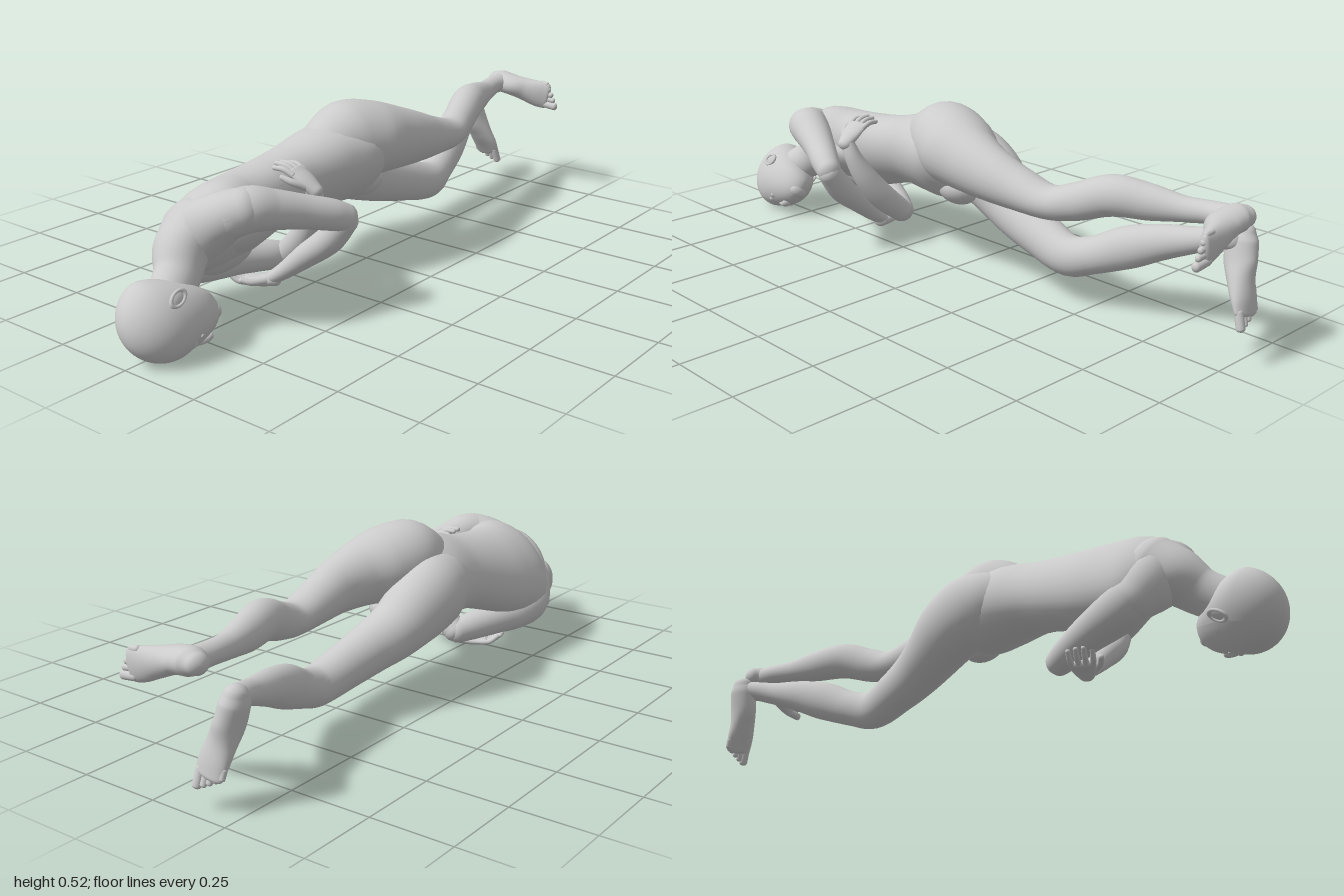
import * as THREE from 'three';

const V = (x, y, z) => new THREE.Vector3(x, y, z);
const mat = new THREE.MeshStandardMaterial({ color: 0xcccccc });
const RING = 28;

function addMesh(parent, name, geometry) {
  const m = new THREE.Mesh(geometry, mat);
  m.name = name;
  parent.add(m);
  return m;
}

// Smooth skin through elliptical sections [x, y, z, sideRadius, depthRadius, sideAngle], with rounded ends
function loft(parent, name, rows, side = null, cap = 0.8) {
  const path = new THREE.CatmullRomCurve3(rows.map(r => V(r[0], r[1], r[2])));
  const size = new THREE.CatmullRomCurve3(rows.map(r => V(r[3], r[4], r[5] ?? 0)));
  const steps = (rows.length - 1) * 6;
  const rings = [];
  const ringAt = (u, scale = 1, push = 0) => {
    const c = path.getPoint(u), t = path.getTangent(u), s = size.getPoint(u);
    const a = side ? side.clone() : V(Math.cos(s.z), Math.sin(s.z), 0);
    a.addScaledVector(t, -a.dot(t)).normalize();
    const b = t.clone().cross(a);
    c.addScaledVector(t, push * Math.min(s.x, s.y) * cap);
    rings.push({ c, a: a.multiplyScalar(s.x * scale), b: b.multiplyScalar(s.y * scale) });
  };
  const capAngles = [1.35, 1.05, 0.7, 0.35];
  capAngles.forEach(q => ringAt(0, Math.cos(q), -Math.sin(q)));
  for (let i = 0; i <= steps; i++) ringAt(i / steps);
  capAngles.slice().reverse().forEach(q => ringAt(1, Math.cos(q), Math.sin(q)));

  const pos = [], idx = [];
  rings.forEach(({ c, a, b }, i) => {
    for (let j = 0; j < RING; j++) {
      const q = (j / RING) * Math.PI * 2;
      const p = c.clone().addScaledVector(a, Math.cos(q)).addScaledVector(b, Math.sin(q));
      pos.push(p.x, p.y, p.z);
      if (i === rings.length - 1) continue;
      const k = (j + 1) % RING, o = i * RING, n = o + RING;
      idx.push(o + j, o + k, n + j, o + k, n + k, n + j);
    }
  });
  const first = rings[0].c, last = rings[rings.length - 1].c;
  const e = rings.length * RING, o = e - RING;
  pos.push(first.x, first.y, first.z, last.x, last.y, last.z);
  for (let j = 0; j < RING; j++) {
    const k = (j + 1) % RING;
    idx.push(e, k, j, e + 1, o + j, o + k);
  }
  const g = new THREE.BufferGeometry();
  g.setAttribute('position', new THREE.Float32BufferAttribute(pos, 3));
  g.setIndex(idx);
  g.computeVertexNormals();
  return addMesh(parent, name, g);
}

function ellipsoid(parent, name, p, r, angle = 0) {
  const m = addMesh(parent, name, new THREE.SphereGeometry(1, 28, 20));
  m.position.set(...p);
  m.scale.set(...r);
  m.rotation.z = angle;
  return m;
}

// Palm plus four curled fingers and a thumb; across points to the index finger, back is the palm's outer side
function hand(parent, name, wrist, dir, across, back) {
  const g = new THREE.Group();
  g.name = name;
  parent.add(g);
  const at = (d, s, h) => wrist.clone().addScaledVector(dir, d).addScaledVector(across, s).addScaledVector(back, h);
  const row = (p, a, b) => [p.x, p.y, p.z, a, b];
  loft(g, 'palm', [row(at(-0.015, 0, 0), 0.024, 0.02), row(at(0.03, 0, 0.004), 0.035, 0.016), row(at(0.07, 0, 0.002), 0.038, 0.012)], across);
  [0.85, 1, 0.95, 0.78].forEach((l, i) => {
    const s = 0.029 - i * 0.019;
    loft(g, 'finger', [row(at(0.06, s, 0.003), 0.009, 0.009), row(at(0.06 + 0.036 * l, s * 1.15, -0.003), 0.0085, 0.0085),
      row(at(0.06 + 0.066 * l, s * 1.2, -0.022), 0.007, 0.007)], across);
  });
  loft(g, 'thumb', [row(at(0.012, 0.02, 0), 0.012, 0.012), row(at(0.045, 0.046, -0.004), 0.01, 0.01), row(at(0.075, 0.054, -0.012), 0.008, 0.008)], back);
}

// Heel to ball of the foot, then five toes; medial points to the big toe
function foot(parent, name, rows, medial, forward) {
  const g = new THREE.Group();
  g.name = name;
  parent.add(g);
  loft(g, 'sole', rows, medial);
  const end = V(...rows[rows.length - 1].slice(0, 3));
  [0.046, 0.043, 0.037, 0.03, 0.023].forEach((l, i) => {
    const r = i ? 0.0095 : 0.0135;
    const a = end.clone().addScaledVector(medial, 0.03 - i * 0.0175 - (i ? 0.003 : 0)).addScaledVector(forward, -0.01 - i * 0.003);
    const b = a.clone().addScaledVector(forward, l);
    loft(g, 'toe', [[a.x, a.y, a.z, r, r], [b.x, b.y, b.z, r, r * 0.9]], medial);
  });
}

function buildHead(parent) {
  const L = V(0.81, 0.56, 0.2).normalize();
  const F = V(0.55, -0.75, -0.3);
  F.addScaledVector(L, -F.dot(L)).normalize();
  const head = new THREE.Group();
  head.name = 'head';
  head.quaternion.setFromRotationMatrix(new THREE.Matrix4().makeBasis(L, F.clone().cross(L), F));
  head.position.set(0.014, 0.111, 0.884);
  parent.add(head);

  // Skull: the lower half of a sphere is stretched forward and narrowed to a jaw
  const g = new THREE.SphereGeometry(1, 48, 36);
  const p = g.attributes.position;
  for (let i = 0; i < p.count; i++) {
    const x = p.getX(i), y = p.getY(i), z = p.getZ(i), k = Math.pow(Math.max(0, -y), 1.4);
    p.setXYZ(i, x * 0.09 * (1 - 0.05 * k), y * (y < 0 ? 0.15 : 0.12), z * 0.118 * (z < 0 ? 1 - 0.4 * k : 1) + 0.052 * k);
  }
  g.computeVertexNormals();
  addMesh(head, 'skull', g);

  loft(head, 'nose', [[0, -0.025, 0.113, 0.008, 0.008], [0, -0.055, 0.122, 0.01, 0.012], [0, -0.07, 0.124, 0.015, 0.012]], V(1, 0, 0));
  ellipsoid(head, 'upperLip', [0, -0.096, 0.11], [0.022, 0.006, 0.009]);
  ellipsoid(head, 'lowerLip', [0, -0.106, 0.106], [0.018, 0.007, 0.009]);
  ellipsoid(head, 'chin', [0, -0.124, 0.085], [0.032, 0.022, 0.023]);
  for (const s of [-1, 1]) {
    ellipsoid(head, 'eye', [s * 0.033, -0.034, 0.105], [0.016, 0.008, 0.008]);
    loft(head, 'brow', [[s * 0.014, -0.014, 0.112, 0.006, 0.005], [s * 0.034, -0.009, 0.106, 0.006, 0.005], [s * 0.053, -0.016, 0.09, 0.005, 0.004]], V(0, 1, 0));
    const ear = new THREE.Group();
    ear.name = 'ear';
    ear.position.set(s * 0.09, -0.03, -0.012);
    ear.rotation.set(0.15, s * 1.35, 0);
    head.add(ear);
    addMesh(ear, 'earRim', new THREE.TorusGeometry(0.018, 0.005, 10, 28)).scale.set(0.9, 1.45, 1);
    ellipsoid(ear, 'earBowl', [0, 0, -0.002], [0.016, 0.025, 0.005]);
  }
}

export function createModel() {
  const body = new THREE.Group();
  body.name = 'lyingFigure';

  // Trunk, turned 45 degrees at the shoulders and less at the hips
  loft(body, 'torso', [
    [-0.05, 0.318, -0.02, 0.11, 0.088, 0.48], [-0.052, 0.328, 0.05, 0.168, 0.118, 0.49],
    [-0.06, 0.334, 0.15, 0.157, 0.122, 0.55], [-0.072, 0.317, 0.28, 0.132, 0.106, 0.66],
    [-0.08, 0.292, 0.4, 0.142, 0.107, 0.74], [-0.082, 0.269, 0.52, 0.162, 0.113, 0.78],
    [-0.076, 0.263, 0.62, 0.175, 0.107, 0.8], [-0.066, 0.254, 0.69, 0.135, 0.09, 0.8]], null, 0.5);
  loft(body, 'shoulders', [
    [0.09, 0.357, 0.63, 0.066, 0.062], [0.045, 0.337, 0.657, 0.072, 0.07], [-0.02, 0.295, 0.675, 0.075, 0.084],
    [-0.075, 0.248, 0.68, 0.075, 0.088], [-0.125, 0.198, 0.67, 0.074, 0.08], [-0.16, 0.15, 0.635, 0.068, 0.064]], V(0, 0, 1));
  loft(body, 'neck', [[-0.08, 0.27, 0.66, 0.13, 0.09, 0.8], [-0.06, 0.232, 0.73, 0.095, 0.078, 0.78],
    [-0.028, 0.186, 0.78, 0.062, 0.066, 0.7], [0.002, 0.143, 0.85, 0.058, 0.06, 0.65]]);
  ellipsoid(body, 'leftChest', [0.02, 0.249, 0.55], [0.078, 0.036, 0.09], 0.78);
  ellipsoid(body, 'rightChest', [-0.07, 0.16, 0.55], [0.078, 0.036, 0.09], 0.78);
  ellipsoid(body, 'pubicMound', [-0.012, 0.258, 0], [0.06, 0.045, 0.065], 0.48);
  buildHead(body);

  // Legs, each starting as the buttock
  loft(body, 'leftLeg', [
    [-0.035, 0.37, 0.2, 0.07, 0.07], [-0.034, 0.39, 0.13, 0.104, 0.104], [-0.025, 0.402, 0.06, 0.122, 0.121],
    [0.002, 0.394, -0.02, 0.122, 0.115], [0.026, 0.379, -0.11, 0.095, 0.098],
    [0.036, 0.362, -0.2, 0.076, 0.082], [0.03, 0.342, -0.3, 0.066, 0.065], [0.018, 0.326, -0.42, 0.058, 0.05],
    [0, 0.345, -0.5, 0.053, 0.055], [-0.03, 0.38, -0.6, 0.056, 0.059], [-0.063, 0.378, -0.7, 0.048, 0.052],
    [-0.088, 0.377, -0.8, 0.036, 0.036], [-0.102, 0.382, -0.87, 0.034, 0.032], [-0.105, 0.384, -0.93, 0.037, 0.034]]);
  loft(body, 'rightLeg', [
    [-0.1, 0.315, 0.2, 0.06, 0.07], [-0.125, 0.322, 0.12, 0.097, 0.102], [-0.135, 0.312, 0.05, 0.106, 0.118],
    [-0.133, 0.279, -0.03, 0.1, 0.11], [-0.118, 0.235, -0.11, 0.087, 0.091],
    [-0.095, 0.2, -0.2, 0.074, 0.079], [-0.078, 0.17, -0.3, 0.065, 0.07], [-0.065, 0.143, -0.42, 0.057, 0.062],
    [-0.082, 0.163, -0.5, 0.053, 0.056], [-0.107, 0.207, -0.6, 0.054, 0.062], [-0.137, 0.243, -0.7, 0.047, 0.051],
    [-0.165, 0.27, -0.8, 0.036, 0.036], [-0.186, 0.287, -0.86, 0.034, 0.032], [-0.196, 0.29, -0.89, 0.035, 0.034]]);
  foot(body, 'leftFoot', [
    [-0.137, 0.386, -0.955, 0.03, 0.034], [-0.11, 0.385, -0.948, 0.038, 0.046], [-0.06, 0.378, -0.944, 0.037, 0.049],
    [-0.01, 0.365, -0.958, 0.042, 0.036], [0.035, 0.353, -0.97, 0.048, 0.025], [0.065, 0.347, -0.978, 0.047, 0.016]],
  V(0, -1, 0), V(0.99, -0.12, 0));
  foot(body, 'rightFoot', [
    [-0.215, 0.312, -0.905, 0.03, 0.034], [-0.21, 0.285, -0.907, 0.037, 0.046], [-0.198, 0.235, -0.913, 0.037, 0.049],
    [-0.184, 0.185, -0.928, 0.042, 0.036], [-0.173, 0.138, -0.948, 0.048, 0.025], [-0.166, 0.104, -0.961, 0.046, 0.016]],
  V(1, 0, 0), V(0.1, -0.95, -0.3));

  // Folded arms: upper arms run down the body, forearms cross in front
  loft(body, 'leftUpperArm', [
    [0.055, 0.34, 0.66, 0.066, 0.064], [0.09, 0.354, 0.62, 0.065, 0.064], [0.117, 0.343, 0.56, 0.059, 0.057],
    [0.154, 0.323, 0.48, 0.05, 0.049], [0.194, 0.3, 0.4, 0.044, 0.045], [0.211, 0.284, 0.36, 0.038, 0.04]]);
  loft(body, 'leftForearm', [
    [0.211, 0.28, 0.36, 0.036, 0.038], [0.158, 0.21, 0.368, 0.044, 0.041], [0.082, 0.148, 0.38, 0.038, 0.036],
    [0.01, 0.088, 0.392, 0.029, 0.026], [-0.035, 0.055, 0.4, 0.025, 0.02]], V(0, 0, 1));
  hand(body, 'leftHand', V(-0.04, 0.05, 0.402), V(-0.88, -0.02, 0.45).normalize(), V(0.45, 0, 0.88).normalize(), V(0.02, -0.99, 0).normalize());
  loft(body, 'rightUpperArm', [
    [-0.14, 0.177, 0.665, 0.066, 0.066], [-0.158, 0.147, 0.62, 0.067, 0.069], [-0.148, 0.128, 0.55, 0.062, 0.062],
    [-0.118, 0.117, 0.46, 0.052, 0.052], [-0.08, 0.106, 0.37, 0.046, 0.046], [-0.06, 0.098, 0.32, 0.038, 0.039]]);
  loft(body, 'rightForearm', [
    [-0.056, 0.098, 0.32, 0.038, 0.038], [0.015, 0.16, 0.332, 0.044, 0.043], [0.072, 0.235, 0.348, 0.038, 0.038],
    [0.105, 0.305, 0.368, 0.029, 0.028], [0.114, 0.352, 0.385, 0.025, 0.021]], V(0, 0, 1));
  hand(body, 'rightHand', V(0.114, 0.358, 0.388), V(-0.78, 0.6, 0.12).normalize(), V(0.15, 0, 0.99).normalize(), V(0.6, 0.8, 0).normalize());
  return body;
}
